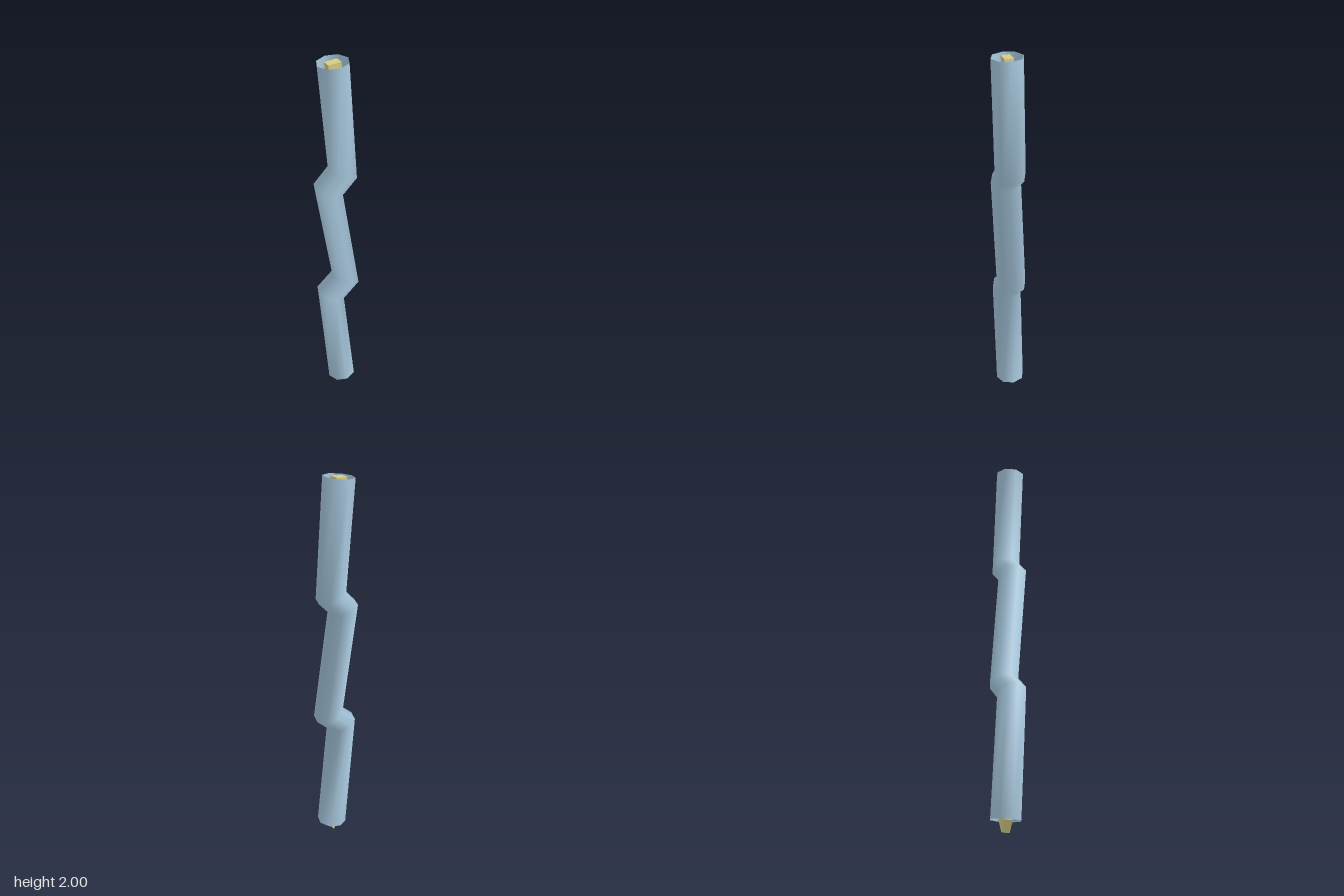
import * as THREE from 'three';

// Zigzag centreline shared by the casing and the bolt, top to bottom
const spine = [
  [-0.022, 1.993], [0.028, 1.413], [-0.049, 1.335],
  [0.048, 0.756], [-0.039, 0.677], [0.027, 0.058],
].map(([x, y]) => new THREE.Vector3(x, y, 0));

// Mean direction of the segments meeting at point i, for mitred bends
function direction(i) {
  const d = new THREE.Vector3();
  if (i > 0) d.add(spine[i].clone().sub(spine[i - 1]).normalize());
  if (i < spine.length - 1) d.add(spine[i + 1].clone().sub(spine[i]).normalize());
  return d.normalize();
}

// Curve that is sampled exactly at the corners of the spine
class ZigzagCurve extends THREE.Curve {
  index(u) { return Math.round(u * (spine.length - 1)); }
  getPointAt(u, target = new THREE.Vector3()) { return target.copy(spine[this.index(u)]); }
  getTangentAt(u, target = new THREE.Vector3()) { return target.copy(direction(this.index(u))); }
}

export function createModel() {
  const model = new THREE.Group();
  model.name = 'zigzagTube';

  const blue = new THREE.MeshStandardMaterial({ color: 0xa9cae0, side: THREE.DoubleSide });
  blue.name = 'paleBlue';
  const yellow = new THREE.MeshStandardMaterial({ color: 0xd8cd85 });
  yellow.name = 'paleYellow';

  // Open eight-sided casing
  const casing = new THREE.Mesh(
    new THREE.TubeGeometry(new ZigzagCurve(), spine.length - 1, 0.078, 8, false), blue);
  casing.name = 'casing';
  model.add(casing);

  // Flat bolt inside the casing, ending in a point below it
  const halfWidth = 0.0325, depth = 0.043;
  const side = (sign) => spine.map((p, i) => {
    const d = direction(i);
    return new THREE.Vector2(p.x - d.y * sign * halfWidth, p.y + d.x * sign * halfWidth);
  });
  const outline = [...side(-1), new THREE.Vector2(0.027, 0), ...side(1).reverse()];
  const boltGeometry = new THREE.ExtrudeGeometry(new THREE.Shape(outline), { depth, bevelEnabled: false });
  boltGeometry.translate(0, 0, -depth / 2);
  const bolt = new THREE.Mesh(boltGeometry, yellow);
  bolt.name = 'bolt';
  model.add(bolt);

  return model;
}
